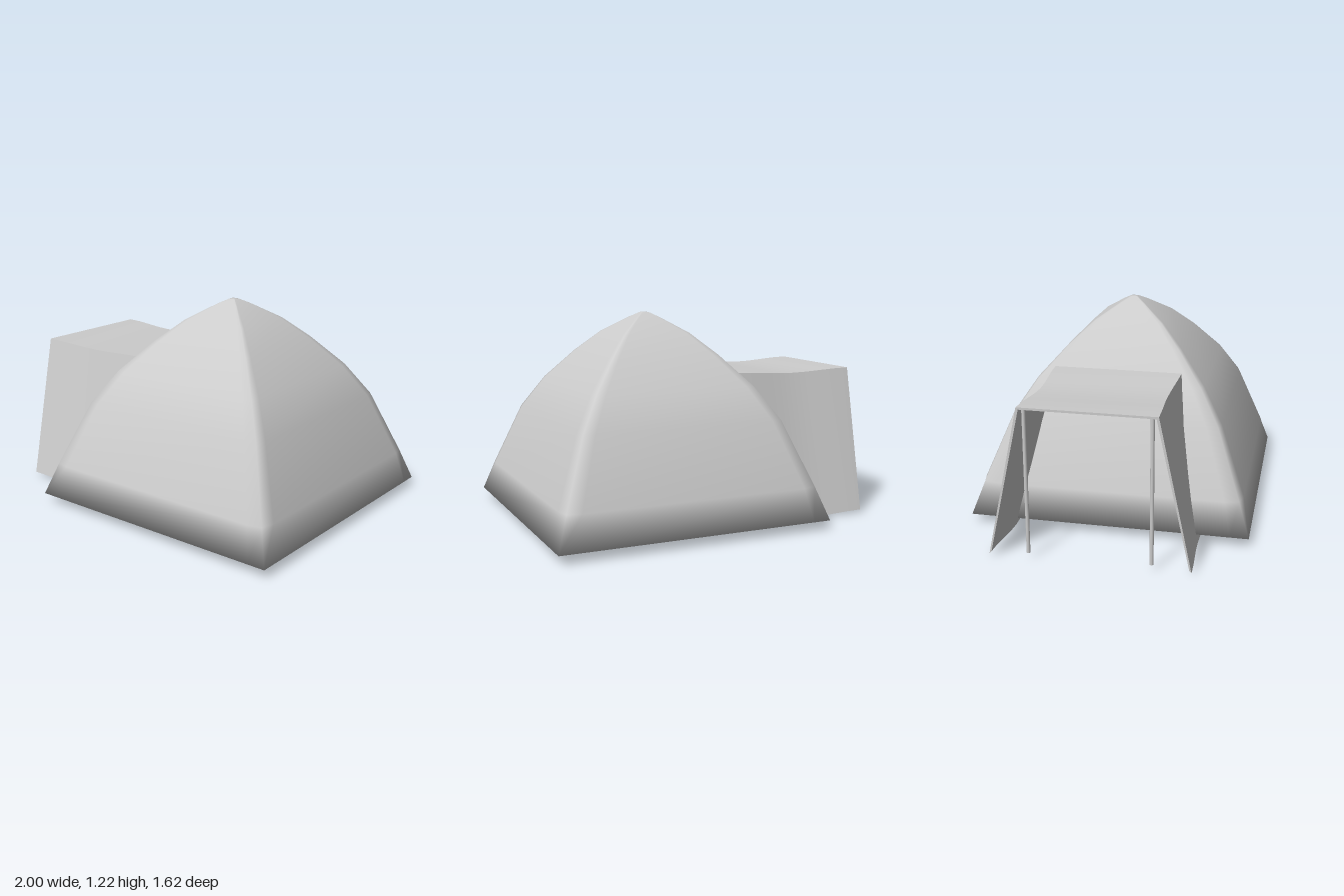
import * as THREE from 'three';
import { toCreasedNormals } from 'three/addons/utils/BufferGeometryUtils.js';

const material = new THREE.MeshStandardMaterial({ color: 0xcccccc });
const sheetMaterial = new THREE.MeshStandardMaterial({ color: 0xcccccc, side: THREE.DoubleSide });

// Joins equal rings of points into one indexed skin; caps close the two ends.
function loft(rings, caps) {
  const n = rings[0].length;
  const pos = rings.flat(2);
  const index = [];
  for (let r = 0; r < rings.length - 1; r++) {
    for (let i = 0; i < n; i++) {
      const j = (i + 1) % n;
      const a = r * n + i, b = r * n + j, c = a + n, d = b + n;
      index.push(a, c, b, b, c, d);
    }
  }
  caps(index, (rings.length - 1) * n, pos);
  const geo = new THREE.BufferGeometry();
  geo.setAttribute('position', new THREE.Float32BufferAttribute(pos, 3));
  geo.setIndex(index);
  geo.computeVertexNormals();
  return geo;
}

// Square dome: height and half width of each ring, corners softened above the base.
function domeGeometry() {
  const profile = [
    [0.055, 0.81], [0.245, 0.763], [0.62, 0.615], [0.81, 0.493],
    [0.985, 0.337], [1.107, 0.207], [1.195, 0.072], [1.224, 0.02],
  ];
  const rings = profile.map(([y, h], k) => {
    const corner = k === 0 ? 1 : 0.975;
    const ring = [];
    for (let s = 0; s < 4; s++) {
      const c = Math.round(Math.cos(s * Math.PI / 2)), d = Math.round(Math.sin(s * Math.PI / 2));
      for (const [u, v] of [[corner, -corner], [1, -0.87], [1, 0.87]]) {
        ring.push([(u * c - v * d) * h, y, (u * d + v * c) * h]);
      }
    }
    return ring;
  });
  return loft(rings, (index, last, pos) => {
    const floor = pos.length / 3;
    pos.push(0, 0.055, 0, 0, 1.225, 0);
    for (let i = 0; i < 12; i++) {
      const j = (i + 1) % 12;
      index.push(floor, i, j, floor + 1, last + j, last + i);
    }
  });
}

// Awning: a thin upside-down U section swept along x, sagging inward at mid-length.
function awningGeometry() {
  const steps = 8, t = 0.012;
  const rings = [];
  for (let k = 0; k <= steps; k++) {
    const f = k / steps;
    const sag = Math.sin(Math.PI * f) ** 2 * 0.018;
    const x = -1 + 0.765 * f;
    const top = 0.877 - sag, foot = 0.02 - sag;
    const zt = 0.375 - sag, zb = 0.557 - sag;
    const section = [
      [zb, foot], [zt, top], [-zt, top], [-zb, foot],
      [-zb + t, foot + t], [-zt + t, top - t], [zt - t, top - t], [zb - t, foot + t],
    ];
    rings.push(section.map(([z, y]) => [x, y, z - 0.013]));
  }
  const geo = loft(rings, (index, last) => {
    for (let i = 0; i < 3; i++) {
      const a = i, b = i + 1, c = 6 - i, d = 7 - i;
      index.push(a, b, c, a, c, d);
      index.push(last + a, last + c, last + b, last + a, last + d, last + c);
    }
  });
  // Reverse the winding so the skin faces outward.
  const idx = geo.index.array;
  for (let i = 0; i < idx.length; i += 3) [idx[i + 1], idx[i + 2]] = [idx[i + 2], idx[i + 1]];
  return toCreasedNormals(geo, 0.5);
}

function add(group, name, geometry, mat, x = 0, y = 0, z = 0) {
  const mesh = new THREE.Mesh(geometry, mat);
  mesh.name = name;
  mesh.position.set(x, y, z);
  group.add(mesh);
}

export function createModel() {
  const tent = new THREE.Group();
  tent.name = 'tent';

  add(tent, 'dome', domeGeometry(), material, 0.19);
  add(tent, 'awning', awningGeometry(), sheetMaterial);

  // Upright poles under the open end of the awning
  const pole = new THREE.CylinderGeometry(0.011, 0.011, 0.83, 10);
  for (const side of [1, -1]) {
    add(tent, side > 0 ? 'leftPole' : 'rightPole', pole, material, -0.98, 0.453, side * 0.34 - 0.013);
  }
  return tent;
}
